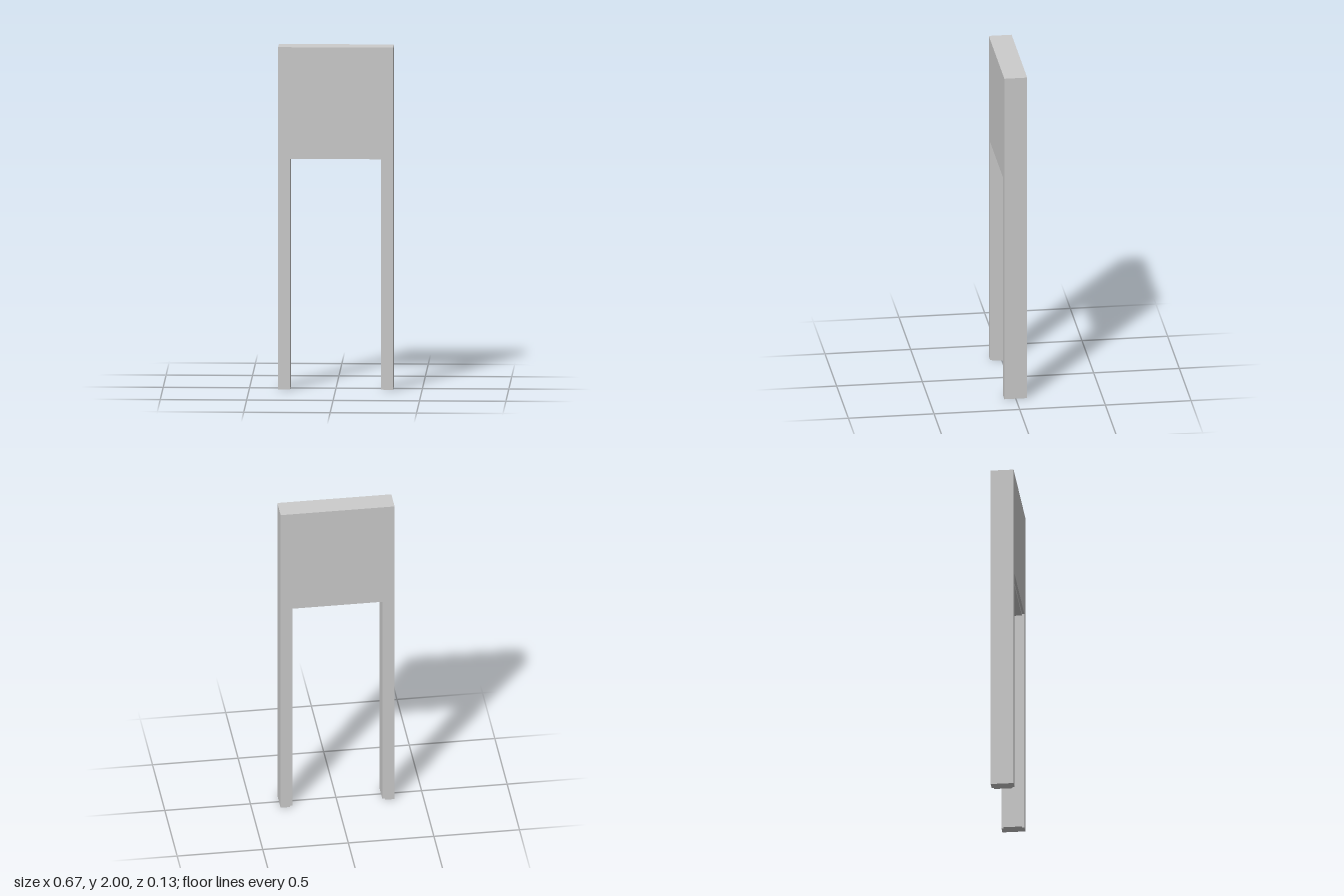
import * as THREE from 'three';

export function createModel() {
  const group = new THREE.Group();

  // Cross-section of the frame: [half width, height of the head, z].
  const outer = [0.333, 2], rebate = [0.278, 1.361], jamb = [0.263, 1.346];
  const D = 0.0667, d = 0.0535;
  const profile = [
    [...outer, D], [...rebate, D], [...rebate, d], [...jamb, d],
    [...jamb, -d], [...rebate, -d], [...rebate, -D], [...outer, -D],
  ];

  // Sweep it up one leg, across the head and down the other leg.
  const stations = [[-1, 0], [-1, 1], [1, 1], [1, 0]].map(([side, up]) =>
    profile.map(([w, h, z]) => [side * w, up * h, z]));

  const positions = [];
  const quad = (a, b, c, e) => positions.push(...a, ...b, ...c, ...a, ...c, ...e);
  const n = profile.length;
  for (let s = 0; s < 3; s++) {
    const p = stations[s], q = stations[s + 1];
    for (let i = 0; i < n; i++) {
      const j = (i + 1) % n;
      quad(p[i], p[j], q[j], q[i]);
    }
  }

  // Undersides of the legs: wall strip and jamb strip.
  for (const ids of [[0, 1, 6, 7], [2, 3, 4, 5]]) {
    quad(...[...ids].reverse().map((i) => stations[0][i]));
    quad(...ids.map((i) => stations[3][i]));
  }

  const geometry = new THREE.BufferGeometry();
  geometry.setAttribute('position', new THREE.Float32BufferAttribute(positions, 3));
  geometry.computeVertexNormals();

  const wall = new THREE.Mesh(
    geometry,
    new THREE.MeshStandardMaterial({ color: 0xcccccc, flatShading: true }),
  );
  wall.name = 'doorwayWall';
  group.add(wall);
  return group;
}
